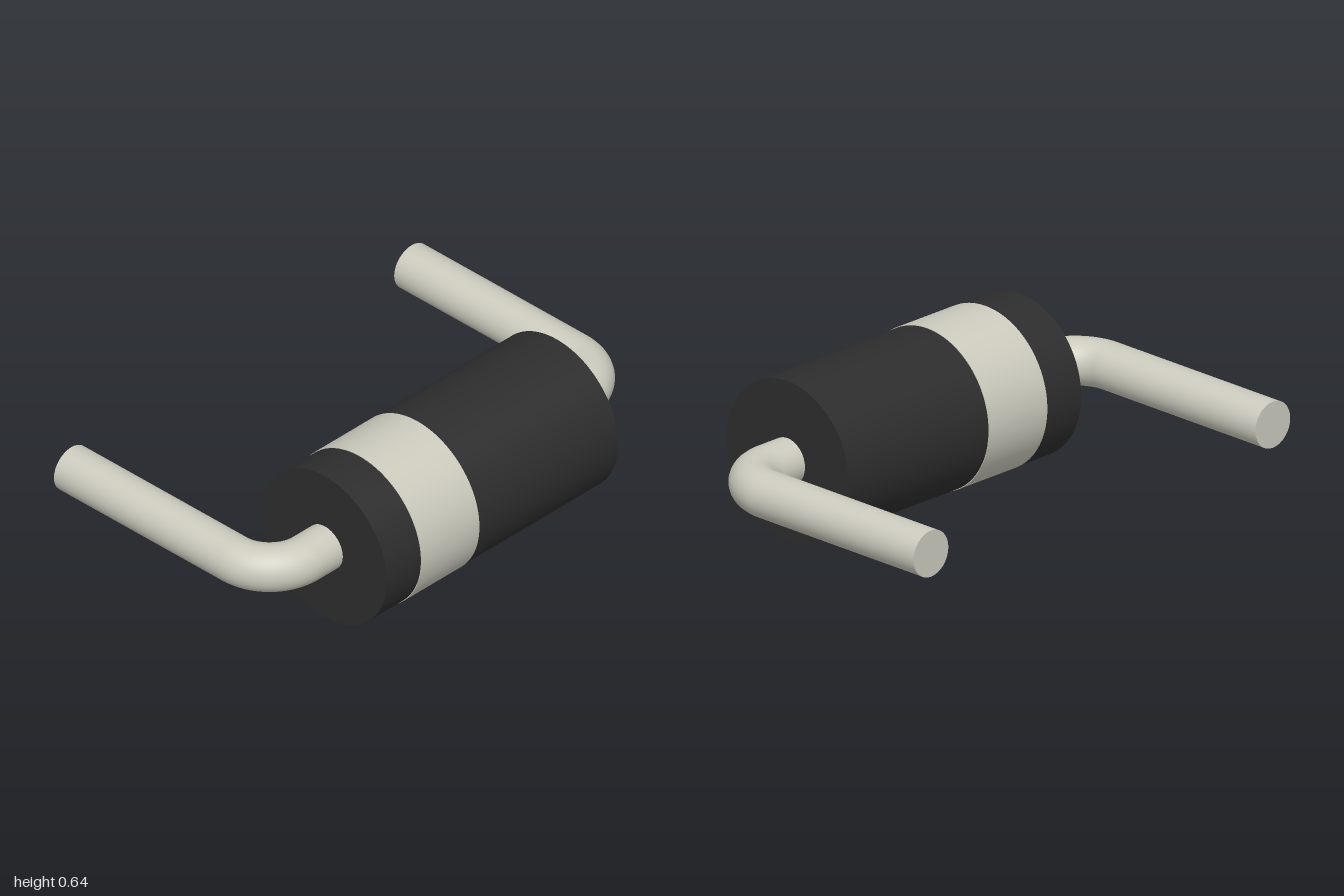
import * as THREE from 'three';

const AXIS_Y = 0.3225, AXIS_Z = 0.355; // centre line of the body
const BODY_R = 0.32, BODY_HALF = 0.617;
const LEAD_R = 0.0925, BEND_R = 0.185;
const LEG_X = 1 - LEAD_R, LEG_END = -0.6775;

export function createModel() {
  const group = new THREE.Group();
  const black = new THREE.MeshStandardMaterial({ color: 0x2d2d2d });
  black.name = 'black casing';
  const silver = new THREE.MeshStandardMaterial({ color: 0xcbcabd });
  silver.name = 'pale metal';

  const add = (parent, name, geometry, material, x, z) => {
    const mesh = new THREE.Mesh(geometry, material);
    mesh.name = name;
    mesh.position.set(x, AXIS_Y, z);
    parent.add(mesh);
  };
  // Cylinder lying along x
  const rod = (radius, length, sides) =>
    new THREE.CylinderGeometry(radius, radius, length, sides).rotateZ(Math.PI / 2);

  // Casing with its polarity band
  add(group, 'body', rod(BODY_R, BODY_HALF * 2, 96), black, 0, AXIS_Z);
  add(group, 'band', rod(0.3225, 0.31, 96), silver, -0.28, AXIS_Z);

  // Two bent wire leads: stub, quarter bend and straight leg
  for (const side of [1, -1]) {
    const lead = new THREE.Group();
    lead.name = side > 0 ? 'leftLead' : 'rightLead';
    const bendX = LEG_X - BEND_R, bendZ = AXIS_Z - BEND_R;

    const stubStart = BODY_HALF - 0.02;
    add(lead, 'stub', rod(LEAD_R, bendX - stubStart, 32), silver,
      side * (bendX + stubStart) / 2, AXIS_Z);

    const bend = new THREE.TorusGeometry(BEND_R, LEAD_R, 32, 20, Math.PI / 2).rotateX(Math.PI / 2);
    if (side < 0) bend.rotateY(-Math.PI / 2);
    add(lead, 'bend', bend, silver, side * bendX, bendZ);

    const leg = new THREE.CylinderGeometry(LEAD_R, LEAD_R, bendZ - LEG_END, 32).rotateX(Math.PI / 2);
    add(lead, 'leg', leg, silver, side * LEG_X, (bendZ + LEG_END) / 2);
    group.add(lead);
  }
  return group;
}
